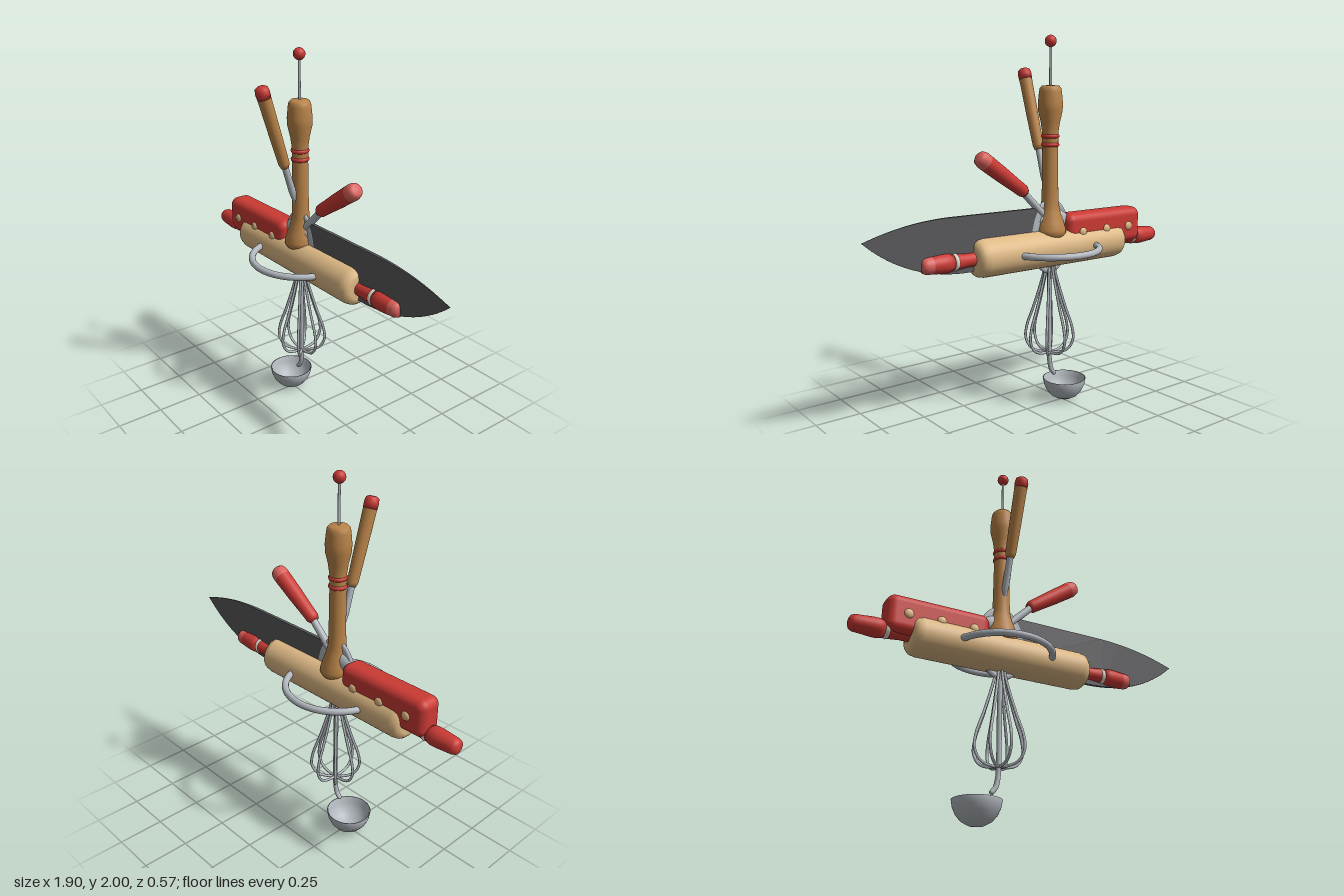
import * as THREE from 'three';
import { RoundedBoxGeometry } from 'three/addons/geometries/RoundedBoxGeometry.js';

const CX = -0.155; // shared vertical axis of the stack
const PIN_Y = 0.88;

const material = (name, color, side = THREE.FrontSide) => {
  const m = new THREE.MeshStandardMaterial({ color, side });
  m.name = name;
  return m;
};
const v = (x, y, z = 0) => new THREE.Vector3(x, y, z);

export function createModel() {
  const red = material('red paint', 0xcb3a34);
  const paleRed = material('pale red', 0xdb625c);
  const wood = material('brown wood', 0xb98348);
  const tan = material('light wood', 0xdeb985);
  const steel = material('steel', 0xb2b8be, THREE.DoubleSide);
  const dark = material('dark steel', 0x58585b);
  const cream = material('cream', 0xe2dccb);

  const model = new THREE.Group();
  const add = (name, geometry, mat, x = 0, y = 0, z = 0, parent = model) => {
    const mesh = new THREE.Mesh(geometry, mat);
    mesh.name = name;
    mesh.position.set(x, y, z);
    parent.add(mesh);
    return mesh;
  };
  // turned profile of [radius, height] pairs
  const lathe = (points, segments = 32) =>
    new THREE.LatheGeometry(points.map(p => new THREE.Vector2(...p)), segments);
  // group whose local y axis runs from a towards b
  const along = (name, a, b) => {
    const g = new THREE.Group();
    g.name = name;
    g.position.copy(a);
    g.quaternion.setFromUnitVectors(v(0, 1), b.clone().sub(a).normalize());
    model.add(g);
    return g;
  };

  // rolling pin barrel with rounded rims
  const barrel = add('rollingPin', lathe([
    [0, -0.497], [0.06, -0.497], [0.08, -0.492], [0.095, -0.475], [0.101, -0.445],
    [0.101, 0.445], [0.095, 0.475], [0.08, 0.492], [0.06, 0.497], [0, 0.497]
  ], 40), tan, CX, PIN_Y);
  barrel.rotation.z = -Math.PI / 2;

  // rolling pin handles: neck, collar and grip
  for (const s of [-1, 1]) {
    const start = v(CX + s * 0.48, PIN_Y);
    const g = along(s < 0 ? 'rightPinHandle' : 'leftPinHandle', start, start.clone().add(v(s, 0)));
    add('neck', lathe([[0.036, 0], [0.036, 0.06], [0.042, 0.12]]), red, 0, 0, 0, g);
    add('collar', lathe([[0, 0.115], [0.04, 0.115], [0.046, 0.13], [0.04, 0.145], [0, 0.145]]), cream, 0, 0, 0, g);
    add('grip', lathe([[0, 0.142], [0.042, 0.142], [0.049, 0.17], [0.049, 0.2], [0.044, 0.26]]), red, 0, 0, 0, g);
    add('gripEnd', lathe([[0.044, 0.26], [0.042, 0.29], [0.035, 0.307], [0.02, 0.315], [0, 0.316]]),
      s > 0 ? paleRed : red, 0, 0, 0, g);
  }

  // horizontal hoop around the pin
  const hoop = add('hoop', new THREE.TorusGeometry(0.267, 0.018, 14, 64), steel, CX, PIN_Y);
  hoop.rotation.x = Math.PI / 2;

  // upright oval plate with a rim
  const rim = add('ovalRim', new THREE.TorusGeometry(0.122, 0.012, 12, 48), steel, CX, 0.945);
  rim.scale.y = 1.53;
  const plate = add('ovalPlate', new THREE.CylinderGeometry(0.12, 0.12, 0.022, 48), steel, CX, 0.945);
  plate.rotation.x = Math.PI / 2;
  plate.scale.z = 1.53;

  // knife blade, thinning towards the tip
  const outline = new THREE.Shape();
  outline.moveTo(CX, 0.83);
  outline.lineTo(0.36, 0.818);
  outline.bezierCurveTo(0.58, 0.815, 0.78, 0.88, 0.945, 1.028);
  outline.bezierCurveTo(0.8, 1.075, 0.65, 1.105, 0.45, 1.105);
  outline.lineTo(CX, 1.105);
  const bladeGeo = new THREE.ExtrudeGeometry(outline, { depth: 0.02, bevelEnabled: false, curveSegments: 20 });
  bladeGeo.translate(0, 0, -0.01);
  const p = bladeGeo.attributes.position;
  for (let i = 0; i < p.count; i++) {
    p.setZ(i, p.getZ(i) * Math.min(1, Math.max(0.08, (0.96 - p.getX(i)) / 0.6)));
  }
  bladeGeo.computeVertexNormals();
  add('knifeBlade', bladeGeo, dark);

  // knife handle with rivets on both faces
  const handle = new RoundedBoxGeometry(0.545, 0.2, 0.136, 5, 0.045);
  add('knifeHandle', handle, red, -0.512, 0.96);
  for (const x of [-0.68, -0.51, -0.335]) {
    for (const s of [-1, 1]) {
      const rivet = add('rivet', new THREE.SphereGeometry(0.025, 18, 12), tan, x, 0.958, s * 0.067);
      rivet.scale.z = 0.5;
    }
  }
  const bolster = add('bolster', new THREE.SphereGeometry(1, 24, 16), steel, CX - 0.02, 1.03);
  bolster.scale.set(0.1, 0.06, 0.04);

  // turned wooden mast
  add('mast', lathe([
    [0, 0.94], [0.075, 0.945], [0.086, 0.965], [0.086, 0.985], [0.075, 1.02], [0.056, 1.075],
    [0.047, 1.12], [0.044, 1.2], [0.042, 1.42], [0.043, 1.5], [0.05, 1.55], [0.064, 1.61],
    [0.066, 1.65], [0.06, 1.71], [0.056, 1.73], [0.045, 1.742], [0, 1.745]
  ], 36), wood, CX);
  for (const y of [1.435, 1.48]) {
    const band = add('mastBand', new THREE.TorusGeometry(0.037, 0.012, 10, 36), red, CX, y);
    band.rotation.x = Math.PI / 2;
  }
  add('topRod', new THREE.CylinderGeometry(0.007, 0.007, 0.24, 14), steel, CX, 1.85);
  add('topBall', new THREE.SphereGeometry(0.031, 24, 16), red, CX, 1.969);

  // wooden handled tool leaning to the front
  const lean = along('leaningTool', v(CX, 1.17, 0.022), v(CX, 1.835, 0.23));
  add('shaft', lathe([[0, 0], [0.012, 0.02], [0.019, 0.1], [0.017, 0.28]], 20), steel, 0, 0, 0, lean);
  add('grip', lathe([[0, 0.245], [0.022, 0.247], [0.029, 0.27], [0.032, 0.42], [0.035, 0.64]], 24), wood, 0, 0, 0, lean);
  add('gripCap', lathe([[0, 0.635], [0.036, 0.638], [0.037, 0.665], [0.033, 0.688], [0.02, 0.697], [0, 0.698]], 24),
    red, 0, 0, 0, lean);

  // red handled tool leaning to the side
  const shaftA = v(-0.155, 1.02), shaftB = v(0.035, 1.205);
  const sideShaft = along('sideToolShaft', shaftA, shaftB);
  add('shaft', new THREE.CylinderGeometry(0.019, 0.021, 0.265, 20), steel, 0, 0.1325, 0, sideShaft);
  const sideGrip = along('sideToolHandle', v(0.01, 1.19), v(0.305, 1.392));
  add('grip', lathe([[0, 0], [0.025, 0.002], [0.034, 0.02], [0.036, 0.08], [0.041, 0.18], [0.044, 0.3]], 24),
    red, 0, 0, 0, sideGrip);
  add('gripCap', lathe([[0.044, 0.3], [0.044, 0.325], [0.038, 0.347], [0.025, 0.357], [0, 0.359]], 24),
    paleRed, 0, 0, 0, sideGrip);

  // whisk: four crossed wire loops
  const whisk = new THREE.Group();
  whisk.name = 'whisk';
  whisk.position.x = CX;
  model.add(whisk);
  const side = [[0.015, 0.82], [0.035, 0.73], [0.085, 0.56], [0.125, 0.44], [0.13, 0.37], [0.095, 0.312]];
  const wire = new THREE.CatmullRomCurve3([
    ...side.map(([x, y]) => v(x, y)), v(0, 0.293),
    ...[...side].reverse().map(([x, y]) => v(-x, y))
  ]);
  const wireGeo = new THREE.TubeGeometry(wire, 72, 0.0075, 8);
  for (let i = 0; i < 4; i++) {
    add('whiskWire', wireGeo, steel, 0, 0, 0, whisk).rotation.y = i * Math.PI / 4;
  }

  // ladle stem hooking sideways, and its open bowl
  const stem = new THREE.CatmullRomCurve3([
    v(CX, 0.8), v(CX, 0.5), v(CX, 0.3), v(CX - 0.004, 0.235), v(CX - 0.016, 0.19), v(CX - 0.034, 0.168)
  ]);
  add('ladleStem', new THREE.TubeGeometry(stem, 40, 0.013, 12), steel);
  add('ladleStemEnd', new THREE.SphereGeometry(0.013, 14, 10), steel, CX - 0.034, 0.168);
  const bowl = [[0, 0], [0.04, 0.006], [0.075, 0.025], [0.1, 0.055], [0.115, 0.09], [0.121, 0.122],
    [0.115, 0.122], [0.108, 0.09], [0.094, 0.059], [0.07, 0.031], [0.038, 0.013], [0, 0.007]];
  add('ladleBowl', lathe(bowl, 36), steel, -0.265, 0);

  return model;
}
